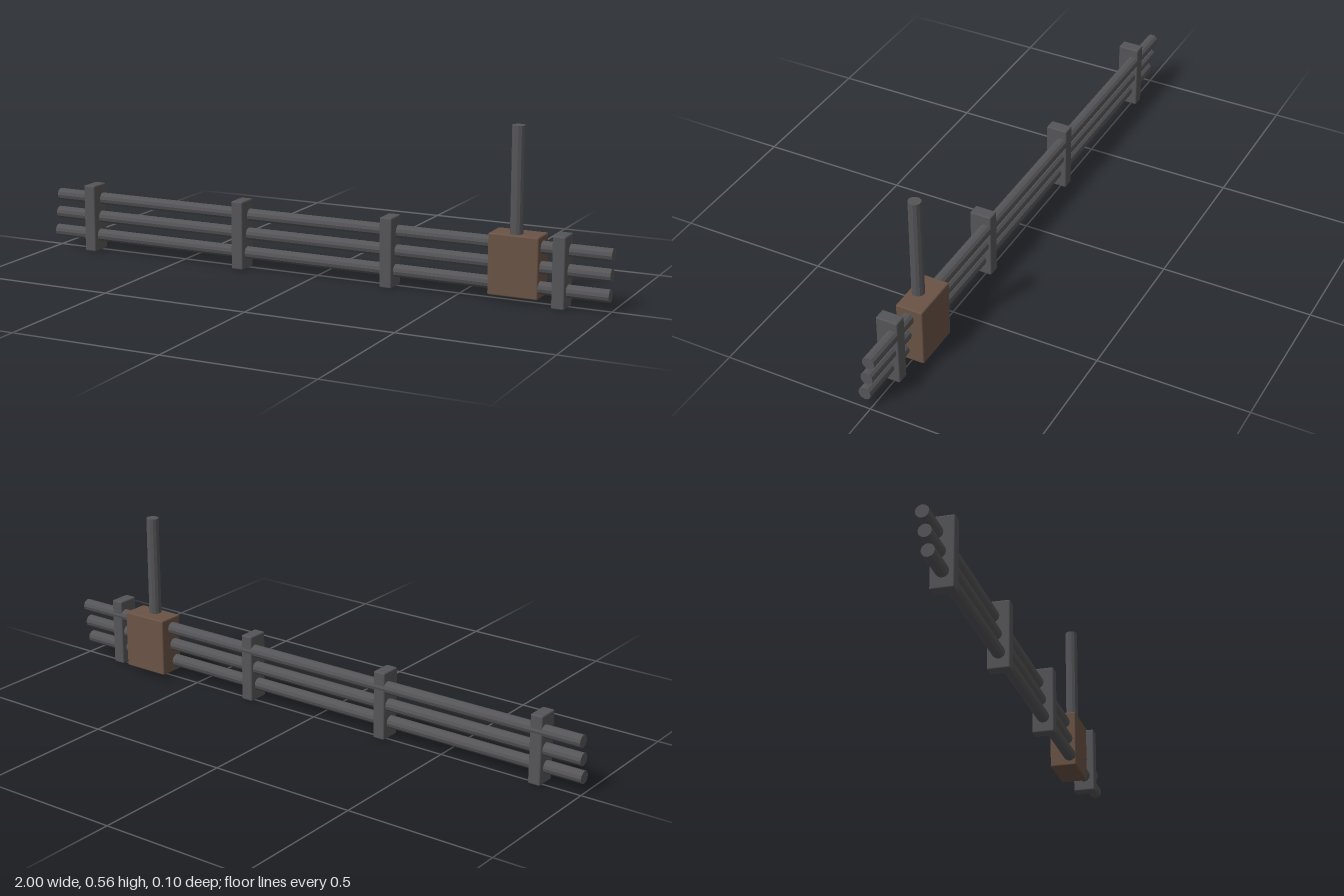
import * as THREE from 'three';
import { RoundedBoxGeometry } from 'three/addons/geometries/RoundedBoxGeometry.js';

export function createModel() {
  const model = new THREE.Group();
  const metal = new THREE.MeshStandardMaterial({ color: 0x555558, flatShading: true });
  const clampMetal = new THREE.MeshStandardMaterial({ color: 0x555558 });
  const brown = new THREE.MeshStandardMaterial({ color: 0x6a5345 });
  const RADIUS = 0.021;

  function add(name, geometry, material, x, y, z) {
    const mesh = new THREE.Mesh(geometry, material);
    mesh.name = name;
    mesh.position.set(x, y, z);
    model.add(mesh);
    return mesh;
  }

  // three parallel pipes, each set slightly further forward than the one above
  const pipeGeometry = new THREE.CylinderGeometry(RADIUS, RADIUS, 2, 12).rotateZ(Math.PI / 2);
  [[0.178, -0.002], [0.116, 0.007], [0.054, 0.017]].forEach(([y, z], i) =>
    add(`pipe${i + 1}`, pipeGeometry, metal, 0, y, z));

  // clamps holding the pipes together
  const clampGeometry = new RoundedBoxGeometry(0.042, 0.23, 0.074, 2, 0.005);
  [-0.848, -0.273, 0.265, 0.843].forEach((x, i) =>
    add(`clamp${i + 1}`, clampGeometry, clampMetal, x, 0.115, 0.016));

  // junction box around the pipes
  add('junctionBox', new RoundedBoxGeometry(0.166, 0.198, 0.091, 2, 0.005), brown, 0.69, 0.116, -0.0065);

  // riser pipe leaving the top of the box
  const bottom = 0.13, top = 0.555;
  add('riserPipe', new THREE.CylinderGeometry(RADIUS, RADIUS, top - bottom, 12).rotateY(Math.PI / 12),
    metal, 0.69, (top + bottom) / 2, 0.008);

  return model;
}
